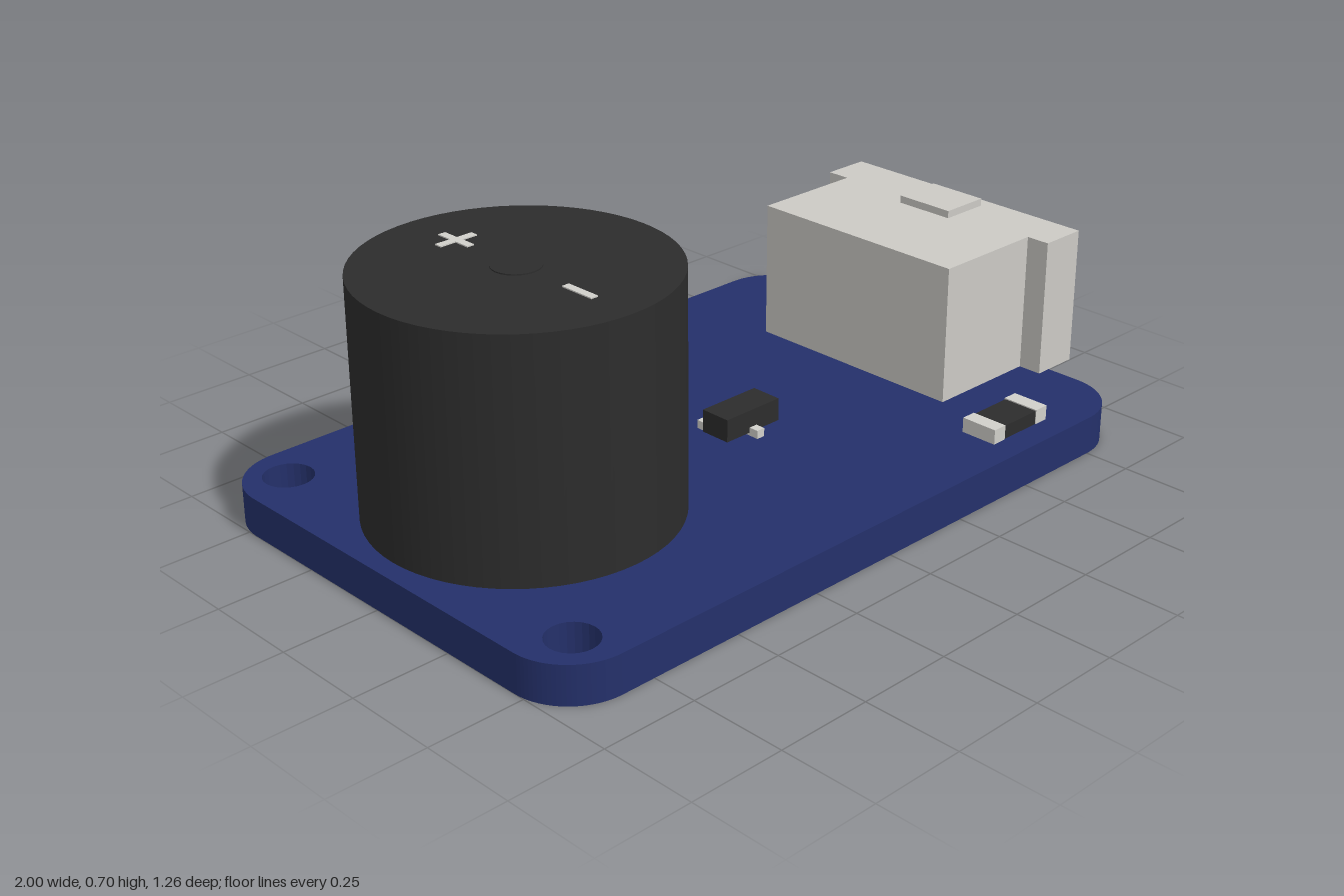
import * as THREE from 'three';

const mat = (name, color, extra = {}) => Object.assign(new THREE.MeshStandardMaterial({ color }), { name }, extra);

export function createModel() {
  const blue = mat('boardBlue', 0x24306a);
  const black = mat('black', 0x2c2c2c);
  const ivory = mat('connectorIvory', 0xcccac5);
  const silver = mat('silver', 0xd0cfca);
  const gold = mat('pinGold', 0xcba568);

  const model = new THREE.Group();
  model.name = 'buzzerModule';
  const group = (name) => {
    const g = new THREE.Group();
    g.name = name;
    model.add(g);
    return g;
  };
  const add = (parent, name, geometry, material) => {
    const m = new THREE.Mesh(geometry, material);
    m.name = name;
    parent.add(m);
    return m;
  };
  // Box given by its limits on each axis
  const box = (parent, name, material, [x0, x1], [y0, y1], [z0, z1]) =>
    add(parent, name, new THREE.BoxGeometry(x1 - x0, y1 - y0, z1 - z0), material)
      .position.set((x0 + x1) / 2, (y0 + y1) / 2, (z0 + z1) / 2);

  // Circuit board: rounded rectangle with two mounting holes
  const x0 = -1, x1 = 0.91, w = 0.63, r = 0.16, top = 0.1;
  const outline = new THREE.Shape();
  outline.absarc(x1 - r, w - r, r, 0, Math.PI / 2);
  outline.absarc(x0 + r, w - r, r, Math.PI / 2, Math.PI);
  outline.absarc(x0 + r, -w + r, r, Math.PI, Math.PI * 1.5);
  outline.absarc(x1 - r, -w + r, r, Math.PI * 1.5, Math.PI * 2);
  for (const s of [-1, 1]) {
    outline.holes.push(new THREE.Path().absarc(-0.873, s * 0.512, 0.063, 0, Math.PI * 2, true));
  }
  const boardGeometry = new THREE.ExtrudeGeometry(outline, { depth: top, bevelEnabled: false, curveSegments: 12 });
  boardGeometry.rotateX(-Math.PI / 2);
  add(model, 'board', boardGeometry, blue);

  // Buzzer can with its centre disc and polarity marks
  const buzzer = group('buzzer');
  const bx = -0.57, by = 0.702;
  add(buzzer, 'can', new THREE.CylinderGeometry(0.38, 0.38, by - top, 64), black)
    .position.set(bx, (by + top) / 2, 0);
  add(buzzer, 'centreDisc', new THREE.CylinderGeometry(0.06, 0.06, 0.004, 24), black)
    .position.set(bx, by + 0.001, 0);
  const markY = [by - 0.002, by + 0.003];
  box(buzzer, 'plusLong', silver, [bx - 0.01, bx + 0.01], markY, [-0.265, -0.16]);
  for (const s of [-1, 1]) {
    const limits = [bx + s * 0.01, bx + s * 0.053].sort((a, b) => a - b);
    box(buzzer, 'plusArm', silver, limits, markY, [-0.222, -0.202]);
  }
  box(buzzer, 'minus', silver, [bx - 0.01, bx + 0.01], markY, [0.165, 0.26]);

  // Connector: two open frames along x, closed by a rear wall
  const connector = group('connector');
  const frame = (name, from, to, half) => {
    const s = new THREE.Shape();
    s.moveTo(-half, top).lineTo(half, top).lineTo(half, 0.466).lineTo(-half, 0.466).closePath();
    const h = new THREE.Path();
    h.moveTo(-0.266, 0.15).lineTo(-0.266, 0.416).lineTo(0.266, 0.416).lineTo(0.266, 0.15).closePath();
    s.holes.push(h);
    const g = new THREE.ExtrudeGeometry(s, { depth: to - from, bevelEnabled: false });
    g.rotateY(Math.PI / 2);
    g.translate(from, 0, 0);
    add(connector, name, g, ivory);
  };
  frame('rearHousing', 0.605, 0.87, 0.314);
  frame('frontRim', 0.87, 1, 0.378);
  box(connector, 'rearWall', ivory, [0.555, 0.605], [top, 0.466], [-0.314, 0.314]);
  box(connector, 'topTab', ivory, [0.827, 0.963], [0.466, 0.486], [-0.083, 0.083]);
  for (const z of [-0.16, 0, 0.16]) {
    box(connector, 'pin', gold, [0.6, 0.98], [0.222, 0.262], [z - 0.02, z + 0.02]);
  }

  // Three-legged transistor
  const transistor = group('transistor');
  box(transistor, 'body', black, [-0.012, 0.168], [0.108, 0.168], [0.02, 0.105]);
  for (const [x, a, b] of [[0.016, -0.016, 0.03], [0.139, -0.016, 0.03], [0.078, 0.095, 0.132]]) {
    box(transistor, 'leg', silver, [x - 0.012, x + 0.012], [top, 0.122], [a, b]);
  }

  // Chip resistor with metal end caps
  const resistor = group('resistor');
  box(resistor, 'body', black, [0.5, 0.622], [top, 0.136], [0.461, 0.557]);
  for (const x of [0.459, 0.622]) {
    box(resistor, 'endCap', silver, [x, x + 0.041], [top, 0.139], [0.459, 0.559]);
  }

  return model;
}
